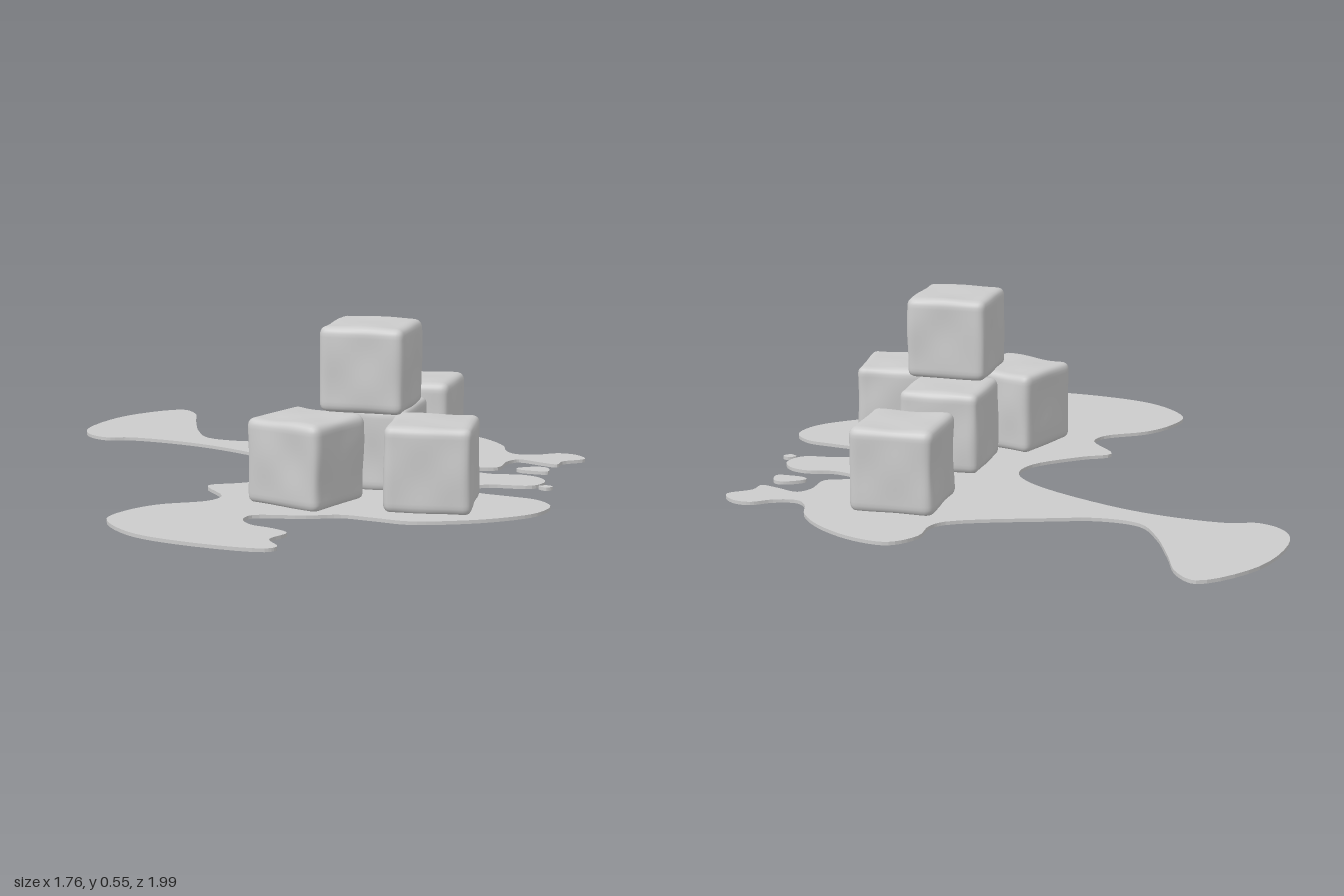
import * as THREE from 'three';
import { mergeVertices } from 'three/addons/utils/BufferGeometryUtils.js';

const CUBE = 0.266;
const THICKNESS = 0.011;

// Puddle shoreline, x and z pairs
const SHORE = [
  -.64, -1, -.58, -.94, -.54, -.79, -.49, -.62, -.43, -.51, -.31, -.475, -.15, -.5,
  .15, -.58, .19, -.63, .205, -.725, .28, -.795, .39, -.77, .52, -.67, .59, -.565,
  .61, -.48, .645, -.435, .72, -.44, .785, -.475, .845, -.46, .88, -.4, .81, -.345,
  .795, -.295, .74, -.315, .665, -.35, .63, -.31, .61, -.215, .53, -.185, .525, -.15,
  .6, -.11, .695, -.115, .755, -.085, .78, -.025, .745, .04, .61, .05, .53, .1,
  .585, .17, .675, .2, .775, .235, .825, .31, .795, .41, .69, .5, .56, .56,
  .43, .59, .32, .565, .22, .545, .12, .575, -.04, .6, -.055, .655, -.02, .715,
  .055, .75, .105, .795, .07, .88, .11, .96, .08, .99, -.18, .95, -.35, .87,
  -.455, .72, -.425, .61, -.35, .515, -.21, .435, -.185, .365, -.26, .225, -.17, .175,
  -.02, .06, .01, -.04, -.05, -.15, -.31, -.34, -.5, -.425, -.7, -.465, -.78, -.45,
  -.855, -.5, -.885, -.6, -.81, -.85,
];
const DROPS = [
  [.67, -.21, .7, -.235, .745, -.248, .77, -.235, .775, -.18, .72, -.18, .685, -.19],
  [.765, .04, .79, .025, .81, .04, .79, .06],
];

// Flat sheet of liquid from a smooth closed outline
function pool(coords, name, material) {
  const points = [];
  for (let i = 0; i < coords.length; i += 2) {
    points.push(new THREE.Vector3(coords[i], -coords[i + 1], 0));
  }
  const curve = new THREE.CatmullRomCurve3(points, true, 'centripetal');
  const outline = curve.getPoints(points.length * 5).slice(0, -1);
  const shape = new THREE.Shape(outline.map((p) => new THREE.Vector2(p.x, p.y)));
  const geometry = new THREE.ExtrudeGeometry(shape, { depth: THICKNESS, bevelEnabled: false });
  geometry.rotateX(-Math.PI / 2);
  const mesh = new THREE.Mesh(geometry, material);
  mesh.name = name;
  return mesh;
}

// Softly rounded block with gently dented, melting faces
function iceGeometry(seed) {
  const box = new THREE.BoxGeometry(CUBE, CUBE, CUBE, 24, 24, 24);
  box.deleteAttribute('normal');
  box.deleteAttribute('uv');
  const geometry = mergeVertices(box, 1e-5);
  const radius = 0.025;
  const inner = CUBE / 2 - radius;
  const limit = new THREE.Vector3(inner, inner, inner);
  const low = limit.clone().negate();
  const pos = geometry.attributes.position;
  const p = new THREE.Vector3();
  const core = new THREE.Vector3();
  for (let i = 0; i < pos.count; i++) {
    p.fromBufferAttribute(pos, i);
    core.copy(p).clamp(low, limit);
    const out = p.clone().sub(core).normalize();
    const wave = Math.sin(p.x * 31 + seed * 2.1) * Math.sin(p.y * 27 + seed * 1.3)
      + Math.sin(p.z * 29 + seed * 3.7) * Math.sin((p.x + p.y) * 22 + seed);
    p.copy(core).addScaledVector(out, radius + 0.0018 * wave);
    pos.setXYZ(i, p.x, p.y, p.z);
  }
  geometry.computeVertexNormals();
  return geometry;
}

export function createModel() {
  const model = new THREE.Group();
  model.name = 'meltingIceCubes';
  const material = new THREE.MeshStandardMaterial({ color: 0xcccccc });

  // Puddle and its stray drops
  model.add(pool(SHORE, 'puddle', material));
  DROPS.forEach((drop, i) => model.add(pool(drop, `drop${i + 1}`, material)));

  // Cubes: name, x, bottom, z, turn
  const cubes = [
    ['backCube', .318, .006, -.397, -.105],
    ['middleCube', .255, .006, .065, -.12],
    ['rightCube', .08, .006, .36, -.445],
    ['leftCube', .468, .006, .36, .01],
    ['topCube', .257, .279, .212, -.11],
  ];
  cubes.forEach(([name, x, bottom, z, turn], i) => {
    const cube = new THREE.Mesh(iceGeometry(i + 1), material);
    cube.name = name;
    cube.position.set(x, bottom + CUBE / 2, z);
    cube.rotation.y = turn;
    model.add(cube);
  });
  return model;
}
